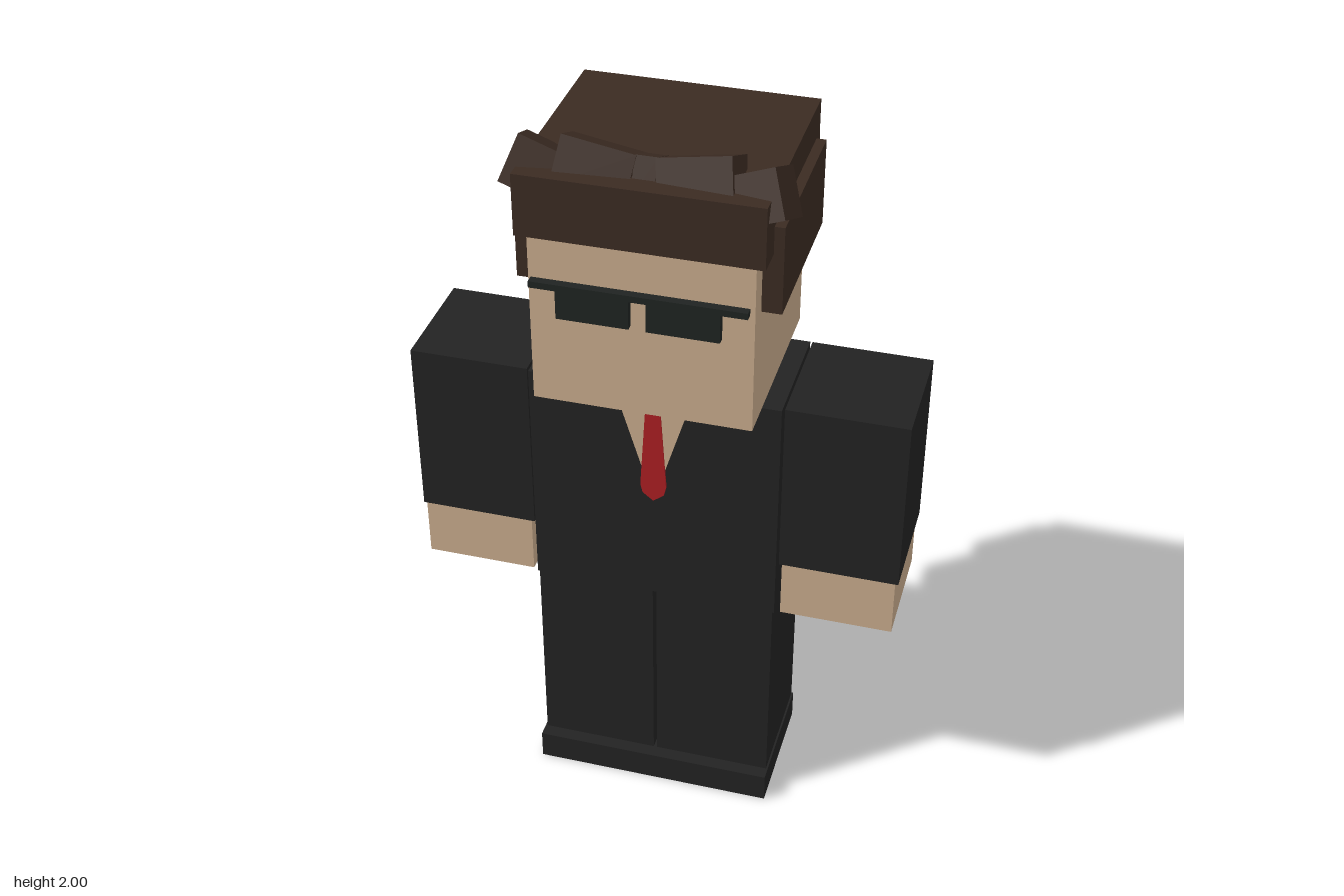
import * as THREE from 'three';

const mat = (name, color) => {
  const m = new THREE.MeshStandardMaterial({ color });
  m.name = name;
  return m;
};

export function createModel() {
  const model = new THREE.Group();
  model.name = 'suitedFigure';

  const suit = mat('suit black', 0x222222);
  const skin = mat('skin tan', 0xc8ab8c);
  const hair = mat('hair brown', 0x3b2b22);
  const glass = mat('glasses black', 0x1f2321);
  const red = mat('tie red', 0xaa1e22);

  const add = (parent, name, geometry, material) => {
    const mesh = new THREE.Mesh(geometry, material);
    mesh.name = name;
    parent.add(mesh);
    return mesh;
  };

  // Box given by its min and max along each axis
  const box = (parent, name, material, [x0, x1], [y0, y1], [z0, z1]) => {
    const mesh = add(parent, name, new THREE.BoxGeometry(x1 - x0, y1 - y0, z1 - z0), material);
    mesh.position.set((x0 + x1) / 2, (y0 + y1) / 2, (z0 + z1) / 2);
    return mesh;
  };

  // Thin front plate cut to an outline
  const plate = (name, material, points, z, depth) => {
    const shape = new THREE.Shape(points.map(([x, y]) => new THREE.Vector2(x, y)));
    const geometry = new THREE.ExtrudeGeometry(shape, { depth, bevelEnabled: false });
    add(model, name, geometry, material).position.z = z;
  };

  // Body
  box(model, 'torso', suit, [-0.325, 0.325], [0.655, 1.3], [-0.155, 0.165]);
  box(model, 'shoes', suit, [-0.325, 0.325], [0, 0.082], [-0.155, 0.2]);
  plate('openCollar', skin, [[-0.103, 1.3], [0, 0.962], [0.103, 1.3]], 0.164, 0.003);
  plate('tie', red, [
    [-0.018, 1.265], [-0.034, 1.01], [-0.028, 0.985], [0, 0.963],
    [0.028, 0.985], [0.034, 1.01], [0.018, 1.265], [0.012, 1.275], [-0.012, 1.275],
  ], 0.165, 0.006);

  // Head
  box(model, 'head', skin, [-0.275, 0.275], [1.3, 1.8], [-0.255, 0.265]);

  // Hair shell
  box(model, 'hairTop', hair, [-0.3, 0.3], [1.76, 1.92], [-0.275, 0.284]);
  box(model, 'hairBack', hair, [-0.297, 0.297], [1.535, 1.82], [-0.296, -0.232]);

  // Sunglasses
  const glasses = new THREE.Group();
  glasses.name = 'glasses';
  model.add(glasses);
  box(glasses, 'browBar', glass, [-0.265, 0.265], [1.633, 1.65], [0.276, 0.298]);

  // Tilted tufts along the hairline
  const tuft = (name, [w, h, d], [x, y, z], roll) => {
    const mesh = add(model, name, new THREE.BoxGeometry(w, h, d), hair);
    mesh.position.set(x, y, z);
    mesh.rotation.set(-0.43, 0, roll, 'ZYX');
  };
  tuft('middleTuft', [0.055, 0.1, 0.1], [0, 1.903, 0.183], 0);

  // Mirrored parts
  for (const [side, s] of [['left', 1], ['right', -1]]) {
    const span = (a, b) => (s > 0 ? [a, b] : [-b, -a]);
    box(model, side + 'Leg', suit, span(0.005, 0.32), [0.08, 0.66], [-0.154, 0.164]);
    box(model, side + 'Sleeve', suit, span(0.331, 0.642), [0.815, 1.3], [-0.155, 0.157]);
    box(model, side + 'Hand', skin, span(0.339, 0.634), [0.655, 0.82], [-0.146, 0.156]);
    box(model, side + 'SideHair', hair, span(0.27, 0.325), [1.602, 1.832], [-0.238, 0.206]);
    box(glasses, side + 'Lens', glass, span(0.021, 0.2), [1.557, 1.635], [0.277, 0.297]);
    tuft(side + 'InnerTuft', [0.18, 0.12, 0.12], [s * 0.124, 1.906, 0.182], s * 0.165);
    tuft(side + 'OuterTuft', [0.13, 0.12, 0.12], [s * 0.266, 1.893, 0.189], s * 0.35);
  }

  return model;
}
